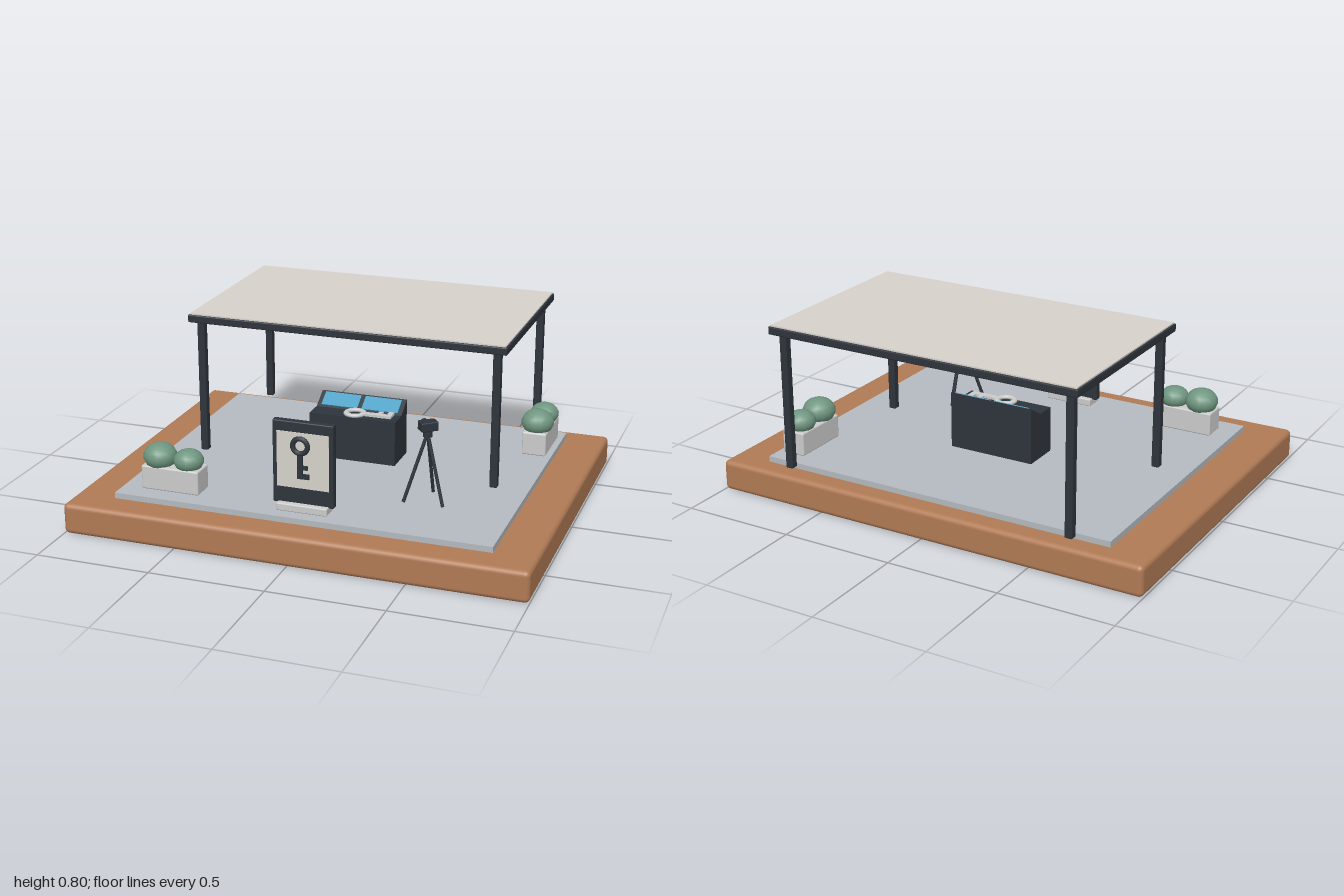
import * as THREE from 'three';
import { RoundedBoxGeometry } from 'three/addons/geometries/RoundedBoxGeometry.js';

const paint = (color) => new THREE.MeshStandardMaterial({ color });
const WOOD = paint(0xb07a55), FLOOR = paint(0xb4bac0), DARK = paint(0x2e343c), LIGHT = paint(0xd6d2ca),
  STONE = paint(0xc6c6c9), GREEN = paint(0x6f9680), GLASS = paint(0x4a9fc4);

function add(parent, name, geometry, material, x = 0, y = 0, z = 0) {
  const mesh = new THREE.Mesh(geometry, material);
  mesh.name = name;
  mesh.position.set(x, y, z);
  parent.add(mesh);
  return mesh;
}

function group(parent, name, x = 0, y = 0, z = 0) {
  const g = new THREE.Group();
  g.name = name;
  g.position.set(x, y, z);
  parent.add(g);
  return g;
}

const box = (w, h, d) => new THREE.BoxGeometry(w, h, d);
const soft = (w, h, d, r = 0.005) => new RoundedBoxGeometry(w, h, d, 2, r);

// Cylinder running from a to b
function rod(parent, name, a, b, r, material) {
  const dir = b.clone().sub(a);
  const m = add(parent, name, new THREE.CylinderGeometry(r, r, dir.length(), 8), material);
  m.position.copy(a).add(b).multiplyScalar(0.5);
  m.quaternion.setFromUnitVectors(new THREE.Vector3(0, 1, 0), dir.normalize());
}

// Upright key in the xy plane, ring at the origin and shaft hanging down
function makeKey(parent, name, material) {
  const key = group(parent, name);
  add(key, 'keyRing', new THREE.TorusGeometry(0.032, 0.011, 10, 28), material);
  add(key, 'keyShaft', box(0.022, 0.105, 0.014), material, 0, -0.088, 0);
  add(key, 'keyUpperTooth', box(0.024, 0.016, 0.014), material, 0.021, -0.092, 0);
  add(key, 'keyLowerTooth', box(0.03, 0.02, 0.014), material, 0.024, -0.13, 0);
  return key;
}

// Trough with one large and one small shrub along local x
function makePlanter(parent, name, x, z, turn) {
  const planter = group(parent, name, x, 0.16, z);
  planter.rotation.y = turn;
  add(planter, 'trough', soft(0.26, 0.105, 0.108, 0.007), STONE, 0, 0.0525, 0);
  for (const [sx, r, ry, y] of [[-0.064, 0.073, 0.058, 0.138], [0.067, 0.065, 0.05, 0.133]]) {
    add(planter, 'shrub', new THREE.SphereGeometry(1, 14, 9), GREEN, sx, y, 0).scale.set(r, ry, r);
  }
}

export function createModel() {
  const model = new THREE.Group();
  model.name = 'pavilionStand';

  // Ground
  add(model, 'plinth', new RoundedBoxGeometry(2, 0.135, 1.55, 4, 0.022), WOOD, 0, 0.0675, 0);
  add(model, 'floorSlab', box(1.64, 0.025, 1.33), FLOOR, 0, 0.1475, -0.02);

  // Canopy on four posts
  const canopy = group(model, 'canopy');
  add(canopy, 'roofFrame', soft(1.43, 0.034, 0.868), DARK, 0, 0.777, -0.341);
  add(canopy, 'roofPanel', box(1.416, 0.012, 0.854), LIGHT, 0, 0.794, -0.341);
  for (const x of [-0.667, 0.667]) {
    for (const z of [0.05, -0.728]) add(canopy, 'post', soft(0.034, 0.605, 0.034), DARK, x, 0.4625, z);
  }

  // Console with sloped back
  const desk = group(model, 'console');
  const side = new THREE.Shape([[0.03, 0.16], [0.03, 0.362], [0.12, 0.362], [0.2, 0.412], [0.2, 0.16]]
    .map(([x, y]) => new THREE.Vector2(x, y)));
  const body = new THREE.ExtrudeGeometry(side, { depth: 0.396, bevelEnabled: false });
  add(desk, 'consoleBody', body.translate(0, 0, -0.198).rotateY(Math.PI / 2), DARK);
  for (const s of [-1, 1]) {
    add(desk, 'screen', box(0.168, 0.008, 0.074), GLASS, s * 0.094, 0.388, -0.16).rotation.x = Math.atan2(0.05, 0.08);
  }
  const tableKey = makeKey(desk, 'tableKey', STONE);
  tableKey.position.set(0, 0.37, -0.072);
  tableKey.rotation.set(-Math.PI / 2, 0, Math.PI / 2);
  tableKey.scale.set(1.2, 1.2, 0.8);

  // Sign with key emblem
  const sign = group(model, 'sign');
  add(sign, 'signFoot', soft(0.222, 0.033, 0.084), STONE, -0.002, 0.1765, 0.548);
  add(sign, 'signFrame', soft(0.264, 0.36, 0.033), DARK, -0.002, 0.366, 0.547);
  add(sign, 'signPanel', box(0.226, 0.242, 0.006), LIGHT, -0.002, 0.381, 0.563);
  makeKey(sign, 'signKey', DARK).position.set(-0.011, 0.446, 0.57);

  // Camera on a tripod
  const tripod = group(model, 'tripod');
  const apex = new THREE.Vector3(0.441, 0.462, 0.288);
  for (const [x, z] of [[0.356, 0.34], [0.526, 0.34], [0.441, 0.192]]) {
    rod(tripod, 'leg', new THREE.Vector3(x, 0.163, z), apex, 0.0075, DARK);
  }
  add(tripod, 'tripodHead', new THREE.CylinderGeometry(0.02, 0.02, 0.03, 12), DARK, 0.441, 0.46, 0.288);
  const camera = group(tripod, 'camera', 0.442, 0.492, 0.286);
  camera.rotation.y = Math.PI * 1.22;
  add(camera, 'cameraBody', soft(0.075, 0.04, 0.05), DARK);
  add(camera, 'lensBarrel', new THREE.CylinderGeometry(0.016, 0.016, 0.026, 14).rotateX(Math.PI / 2), DARK, 0, 0, 0.034);
  add(camera, 'lensGlass', new THREE.CylinderGeometry(0.013, 0.013, 0.006, 14).rotateX(Math.PI / 2), GLASS, 0, 0, 0.047);

  // Planters
  makePlanter(model, 'frontPlanter', -0.603, 0.51, 0);
  makePlanter(model, 'sidePlanter', 0.741, -0.486, -Math.PI / 2 + Math.PI);
  model.getObjectByName('sidePlanter').rotation.y = -Math.PI / 2;
  model.getObjectByName('sidePlanter').scale.x = -1;
  return model;
}
